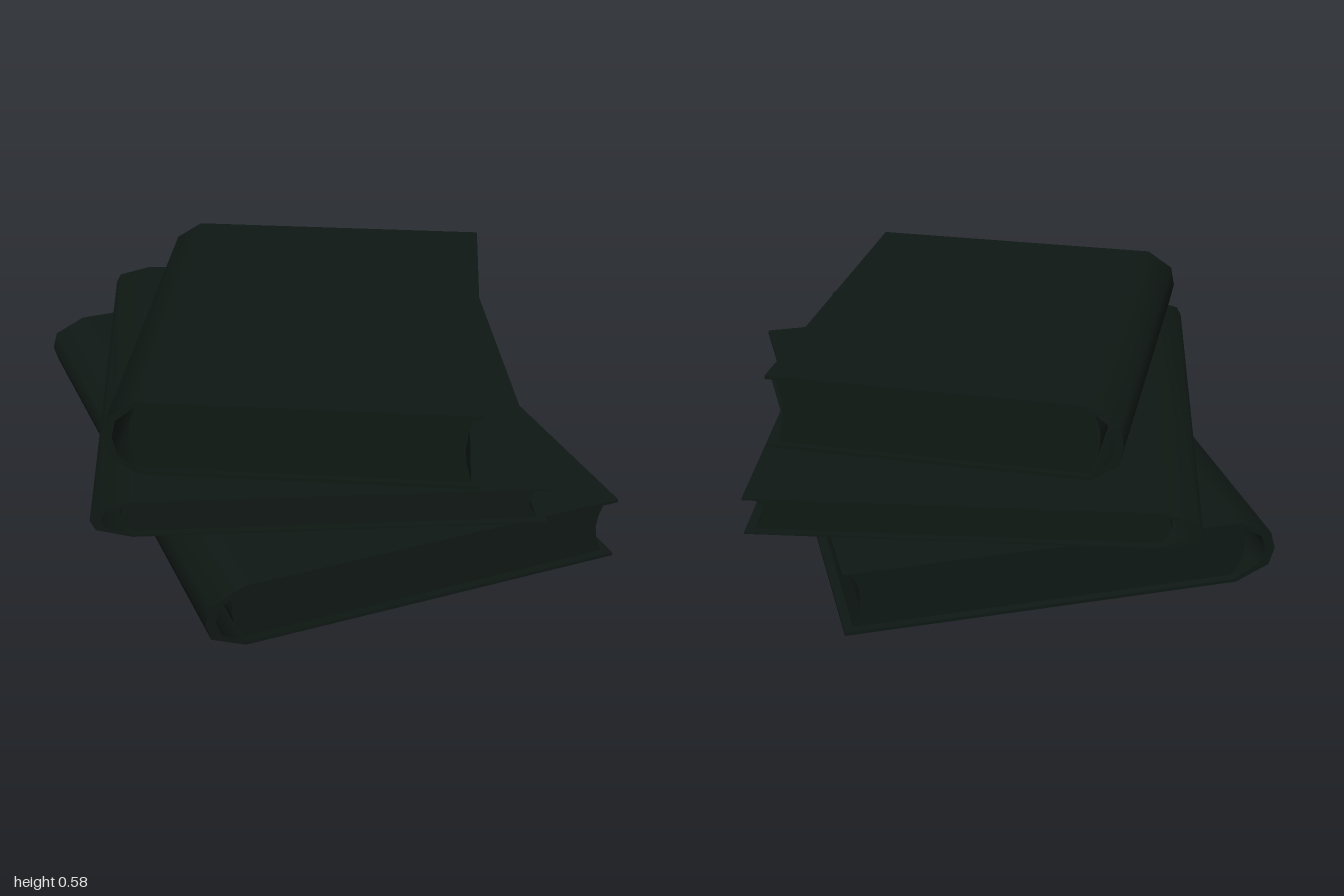
import * as THREE from 'three';
import { toCreasedNormals } from 'three/addons/utils/BufferGeometryUtils.js';

// Cross-sections as fractions of a book's width (centred) and thickness (from 0 to 1)
const COVER = [
  [0.5, 0], [0.5, 0.05], [-0.405, 0.05], [-0.465, 0.27], [-0.477, 0.5], [-0.465, 0.73],
  [-0.405, 0.95], [0.5, 0.95], [0.5, 1], [-0.395, 1], [-0.41, 1], [-0.488, 0.77],
  [-0.5, 0.5], [-0.488, 0.23], [-0.41, 0], [-0.395, 0],
];
const PAGES = [
  [0.479, 0.05], [0.464, 0.32], [0.46, 0.5], [0.464, 0.68], [0.479, 0.95],
  [-0.41, 0.95], [-0.43, 0.68], [-0.435, 0.5], [-0.43, 0.32], [-0.41, 0.05],
];

const material = new THREE.MeshStandardMaterial({ color: 0x0f1814 });

// Extrude a scaled cross-section along z, centred on z = 0
function slab(name, profile, width, height, depth) {
  const shape = new THREE.Shape(profile.map(([u, v]) => new THREE.Vector2(u * width, v * height)));
  const geometry = new THREE.ExtrudeGeometry(shape, { depth, bevelEnabled: false });
  geometry.translate(0, 0, -depth / 2);
  const mesh = new THREE.Mesh(toCreasedNormals(geometry, 0.9), material);
  mesh.name = name;
  return mesh;
}

// A hardback: wrap-round cover with a hollow rounded spine, and a page block
function book({ name, size: [w, h, d], at: [x, y, z], turn }) {
  const group = new THREE.Group();
  group.name = name;
  group.add(slab('cover', COVER, w, h, d), slab('pages', PAGES, w, h, d * 0.972));
  group.position.set(x, y, z);
  group.rotation.y = turn;
  return group;
}

export function createModel() {
  const model = new THREE.Group();
  model.name = 'bookStack';
  const books = [
    { name: 'bottomBook', size: [1.33, 0.207, 1.83], at: [-0.012, 0, 0.045], turn: 0 },
    { name: 'middleBook', size: [1.352, 0.12, 1.657], at: [0, 0.21, 0], turn: -0.316 },
    { name: 'topBook', size: [1.11, 0.247, 1.348], at: [-0.014, 0.334, 0.08], turn: -0.46 },
  ];
  books.forEach((b) => model.add(book(b)));
  return model;
}
